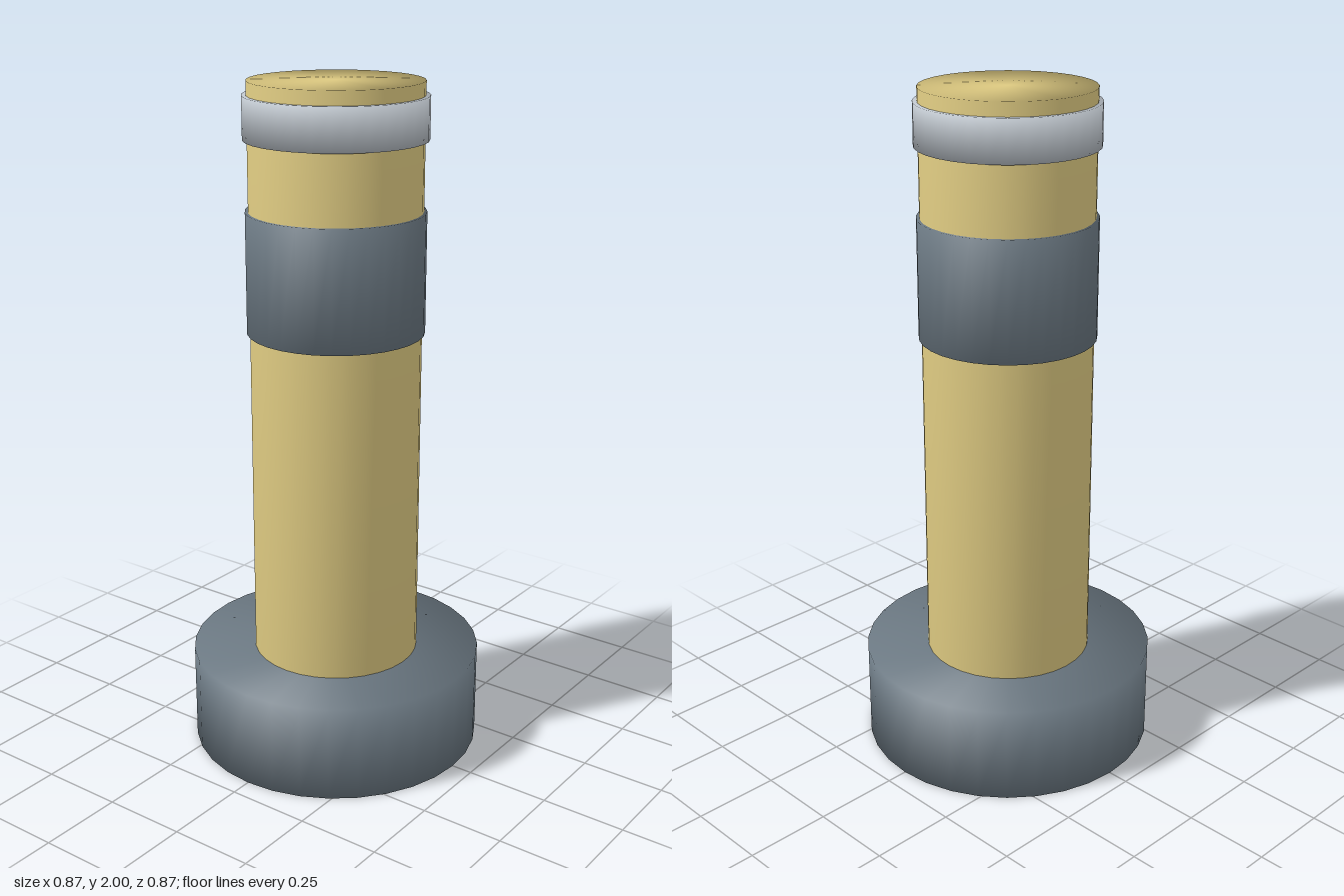
import * as THREE from 'three';
import { mergeVertices } from 'three/addons/utils/BufferGeometryUtils.js';

const material = (name, color) => {
  const m = new THREE.MeshStandardMaterial({ color });
  m.name = name;
  return m;
};

// Closed cylinder between two heights, with normals shared across its rims
function softCylinder(name, radius, bottom, top, mat) {
  let geometry = new THREE.CylinderGeometry(radius, radius, top - bottom, 32);
  geometry.deleteAttribute('normal');
  geometry.deleteAttribute('uv');
  geometry = mergeVertices(geometry, 1e-4);
  geometry.computeVertexNormals();
  const mesh = new THREE.Mesh(geometry, mat);
  mesh.name = name;
  mesh.position.y = (bottom + top) / 2;
  return mesh;
}

export function createModel() {
  const yellow = material('sand yellow', 0xdfcb82);
  const slate = material('slate grey', 0x6b7882);
  const silver = material('light grey', 0xbcc3ca);

  const group = new THREE.Group();
  group.name = 'bollard';
  group.add(
    softCylinder('base', 0.437, 0, 0.29, slate),
    softCylinder('post', 0.249, 0.01, 2, yellow), // foot sunk inside the base
    softCylinder('wideBand', 0.258, 1.285, 1.637, slate),
    softCylinder('topRing', 0.262, 1.838, 1.96, silver),
  );
  return group;
}
